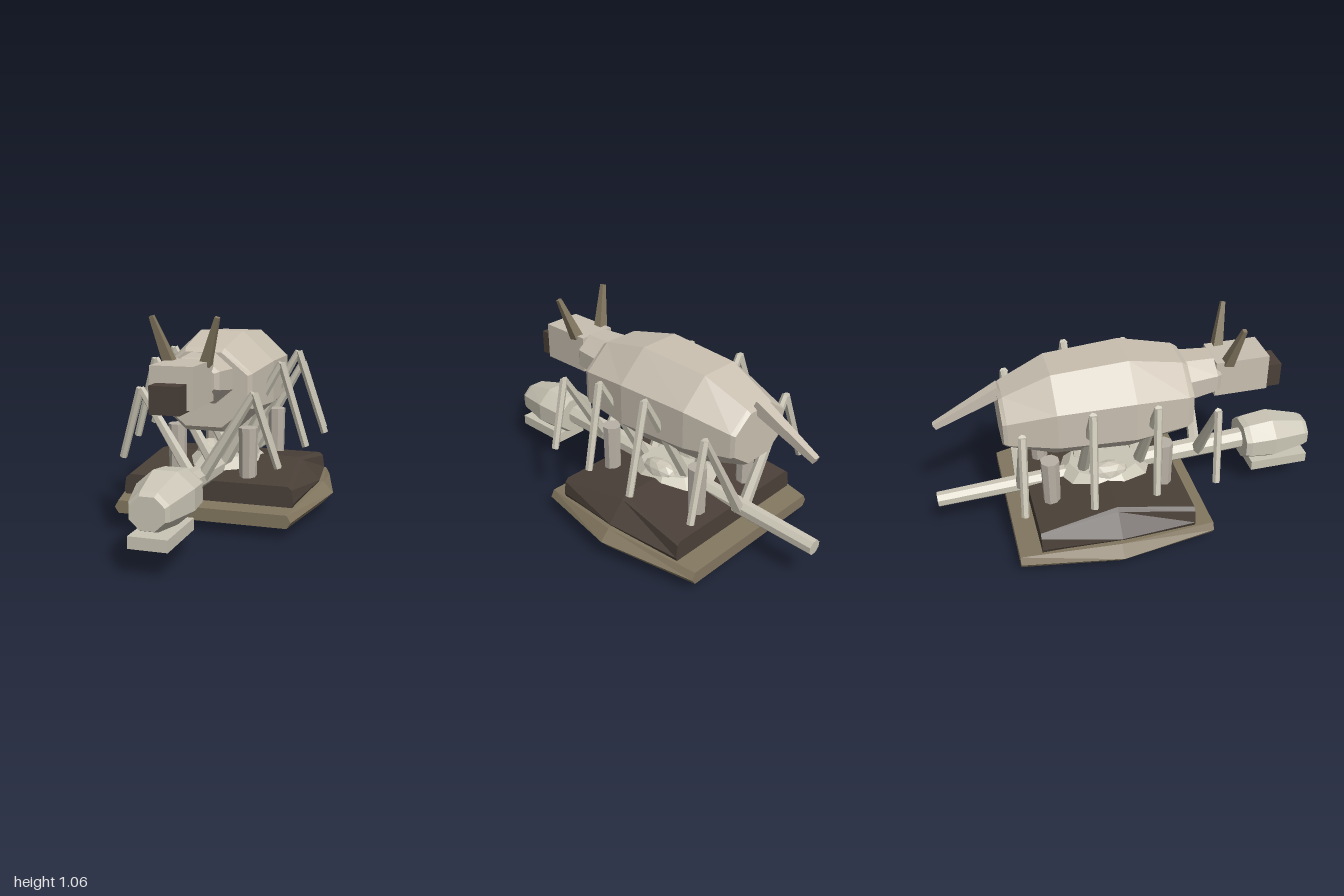
import * as THREE from 'three';

const paint = (color) => new THREE.MeshStandardMaterial({ color, flatShading: true, side: THREE.DoubleSide });
const hide = paint(0xc8bfb0), shell = paint(0xcac5b5), post = paint(0xb9b1a6);
const dark = paint(0x4a4038), brown = paint(0x82765f), metal = paint(0x93a6ac);

// Joins cross-sections {z, pts} from back to front, pts counterclockwise seen from +z
function loft(sections) {
  const pos = [];
  const tri = (...v) => v.forEach((p) => pos.push(...p));
  const rings = sections.map((s) => s.pts.map(([x, y]) => [x, y, s.z]));
  const n = rings[0].length;
  for (let k = 0; k < rings.length - 1; k++) {
    for (let i = 0; i < n; i++) {
      const j = (i + 1) % n, a = rings[k], b = rings[k + 1];
      tri(a[i], a[j], b[j]);
      tri(a[i], b[j], b[i]);
    }
  }
  const back = rings[0], front = rings[rings.length - 1];
  for (let i = 1; i < n - 1; i++) {
    tri(back[0], back[i + 1], back[i]);
    tri(front[0], front[i], front[i + 1]);
  }
  const g = new THREE.BufferGeometry();
  g.setAttribute('position', new THREE.Float32BufferAttribute(pos, 3));
  g.computeVertexNormals();
  return g;
}

// Octagon with flat top and sides, from half width, bottom and top
function octagon(z, w, bottom, top) {
  const pts = [], cy = (bottom + top) / 2, h = (top - bottom) / 2;
  for (let i = 0; i < 8; i++) {
    const a = ((i + 0.5) * Math.PI) / 4, s = 1 / Math.cos(Math.PI / 8);
    pts.push([Math.cos(a) * w * s, cy + Math.sin(a) * h * s]);
  }
  return { z, pts };
}

// Mirrored section from its right half, listed bottom to top
const mirrored = (z, half) => ({ z, pts: [...half, ...half.map(([x, y]) => [-x, y]).reverse()] });

// Tapered rod between two points
function limb(a, b, ra, rb, sides) {
  const from = new THREE.Vector3(...a), dir = new THREE.Vector3(...b).sub(from);
  const len = dir.length();
  const g = new THREE.CylinderGeometry(rb, ra, len, sides);
  g.rotateY(Math.PI / sides);
  g.translate(0, len / 2, 0);
  g.applyQuaternion(new THREE.Quaternion().setFromUnitVectors(new THREE.Vector3(0, 1, 0), dir.normalize()));
  return g.translate(...a);
}

function box(x0, x1, y0, y1, z0, z1) {
  return new THREE.BoxGeometry(x1 - x0, y1 - y0, z1 - z0).translate((x0 + x1) / 2, (y0 + y1) / 2, (z0 + z1) / 2);
}

export function createModel() {
  const model = new THREE.Group();
  const add = (name, geometry, material) => {
    const m = new THREE.Mesh(geometry, material);
    m.name = name;
    model.add(m);
    return m;
  };

  // Upper animal: barrel body, neck, head, muzzle and tail
  add('body', loft([
    octagon(-0.65, 0.18, 0.55, 0.81),
    octagon(-0.63, 0.19, 0.535, 0.825),
    octagon(-0.4, 0.25, 0.47, 0.925),
    octagon(-0.02, 0.27, 0.45, 0.95),
    octagon(0.25, 0.235, 0.485, 0.89),
    octagon(0.28, 0.22, 0.51, 0.87),
  ]), hide);
  add('neck', loft([octagon(0.25, 0.15, 0.62, 0.87), octagon(0.43, 0.13, 0.655, 0.86), octagon(0.455, 0.11, 0.67, 0.845)]), hide);
  add('head', box(-0.1, 0.1, 0.665, 0.855, 0.43, 0.71), hide);
  add('muzzle', box(-0.07, 0.07, 0.655, 0.78, 0.67, 0.795), dark);
  add('tail', limb([0, 0.825, -0.63], [0, 0.665, -0.96], 0.045, 0.022, 4), hide);

  // Lower creature: long tapered tube with a faceted head and jaw plate
  add('tube', limb([0, 0.21, -1], [0, 0.295, 0.66], 0.04, 0.057, 8), shell);
  add('bulbHead', loft([
    octagon(0.63, 0.115, 0.2, 0.39),
    octagon(0.66, 0.125, 0.19, 0.4),
    octagon(0.79, 0.135, 0.18, 0.415),
    octagon(0.975, 0.092, 0.2, 0.37),
    octagon(1, 0.08, 0.21, 0.355),
  ]), shell);
  add('jawPlate', box(-0.09, 0.09, 0.125, 0.18, 0.68, 1), shell);

  // Four pairs of bent legs: hip z, knee, foot
  const legs = [
    [0.38, [0.28, 0.7, 0.385], [0.39, 0.35, 0.355]],
    [0.05, [0.33, 0.805, 0.065], [0.45, 0.39, 0.03]],
    [-0.25, [0.345, 0.83, -0.25], [0.485, 0.4, -0.285]],
    [-0.57, [0.3, 0.735, -0.575], [0.42, 0.365, -0.605]],
  ];
  for (const s of [1, -1]) {
    const flip = ([x, y, z]) => [s * x, y, z];
    for (const [z, knee, foot] of legs) {
      const hipY = 0.265 + z * 0.05;
      add('upperLeg', limb(flip([0.025, hipY, z]), flip(knee), 0.032, 0.019, 6), shell);
      add('lowerLeg', limb(flip(knee), flip(foot), 0.021, 0.019, 6), shell);
    }
    add('horn', limb(flip([0.085, 0.84, 0.495]), flip([0.155, 1.055, 0.54]), 0.036, 0.015, 4), brown);
    // Posts under the body
    for (const z of [0.14, -0.44]) {
      add('post', limb([s * 0.185, 0.2, z], [s * 0.185, 0.49, z], 0.043, 0.048, 8), post);
    }
    // Rounded lumps beside the tube
    const lump = add('lump', new THREE.IcosahedronGeometry(0.07, 1), shell);
    lump.scale.set(0.8, 0.9, 1.5);
    lump.position.set(s * 0.11, 0.3, -0.13);
  }

  // Low mound on the deck
  const mound = add('mound', new THREE.CylinderGeometry(0.16, 0.23, 0.07, 10), shell);
  mound.scale.z = 1.15;
  mound.position.set(0, 0.275, -0.13);

  // Base: brown rim and dark ridged deck, both widest in the middle
  const rimEnd = [[0.43, 0.055], [0.45, 0.085], [0.43, 0.12]];
  add('baseRim', loft([
    mirrored(-0.65, rimEnd),
    mirrored(-0.16, [[0.51, 0.055], [0.56, 0.11], [0.51, 0.165]]),
    mirrored(0.34, rimEnd),
  ]), brown);
  const deckEnd = [[0.42, 0.09], [0.44, 0.15], [0.43, 0.215], [0.41, 0.232]];
  add('deck', loft([
    mirrored(-0.54, deckEnd),
    mirrored(-0.15, [[0.46, 0.12], [0.49, 0.175], [0.4, 0.275], [0.38, 0.29]]),
    mirrored(0.24, deckEnd),
  ]), dark);
  add('underPanel', loft([
    mirrored(-0.54, [[0.38, 0.052], [0.38, 0.06]]),
    mirrored(-0.16, [[0.45, 0.052], [0.45, 0.06]]),
    mirrored(0.24, [[0.38, 0.052], [0.38, 0.06]]),
  ]), dark);

  // Slim pod beneath the base with stub wings and a tail fin
  add('pod', loft([
    octagon(-0.43, 0.025, 0.025, 0.055),
    octagon(-0.32, 0.05, 0.008, 0.075),
    octagon(-0.15, 0.065, 0, 0.085),
    octagon(0, 0.055, 0.006, 0.08),
    octagon(0.09, 0.025, 0.02, 0.06),
  ]), dark);
  for (const s of [1, -1]) {
    const wing = add('podWing', box(-0.06, 0.06, -0.005, 0.005, -0.09, 0.09), brown);
    wing.position.set(s * 0.095, 0.042, -0.15);
    wing.rotation.z = s * 0.15;
  }
  add('podFin', box(-0.008, 0.008, 0.01, 0.06, -0.445, -0.39), metal);
  add('podTailplane', box(-0.045, 0.045, 0.035, 0.043, -0.44, -0.4), metal);

  return model;
}
